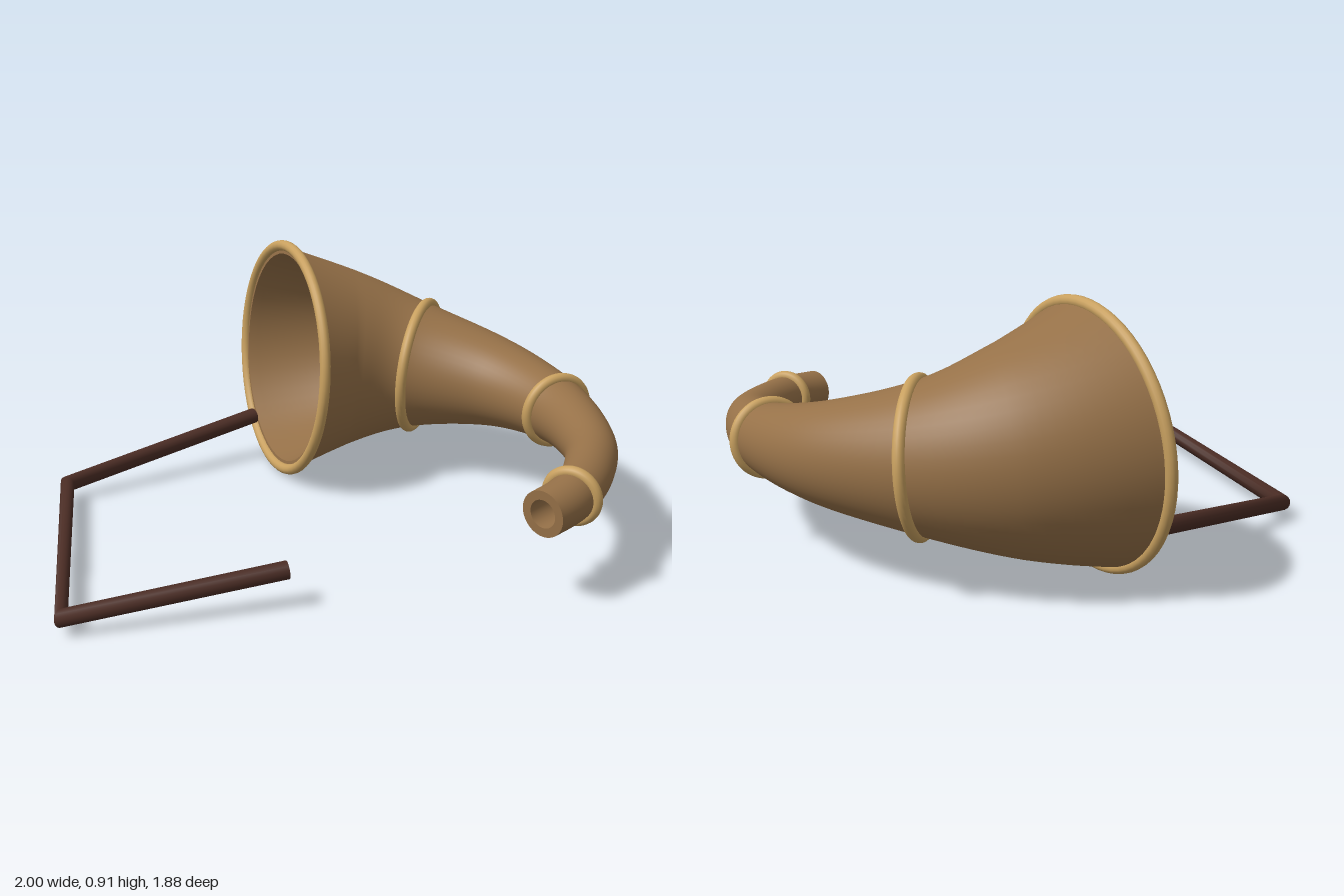
import * as THREE from 'three';

const SIDES = 48;

// One cross-section: centre, direction of travel, radius
const section = (centre, dir, radius) => ({ centre, dir, radius });

// Skin a list of round sections with a closed smooth surface
function loft(sections, sides = SIDES) {
  const pos = [], index = [];
  const up = new THREE.Vector3(0, 1, 0);
  sections.forEach(({ centre, dir, radius }, i) => {
    const side = new THREE.Vector3().crossVectors(dir, up).normalize();
    const lift = new THREE.Vector3().crossVectors(side, dir).normalize();
    for (let j = 0; j < sides; j++) {
      const a = (j / sides) * Math.PI * 2;
      const p = centre.clone()
        .addScaledVector(side, Math.cos(a) * radius)
        .addScaledVector(lift, Math.sin(a) * radius);
      pos.push(p.x, p.y, p.z);
      if (i === sections.length - 1) continue;
      const k = (j + 1) % sides;
      const r0 = i * sides, r1 = r0 + sides;
      index.push(r0 + j, r1 + j, r0 + k, r1 + j, r1 + k, r0 + k);
    }
  });
  const g = new THREE.BufferGeometry();
  g.setAttribute('position', new THREE.Float32BufferAttribute(pos, 3));
  g.setIndex(index);
  g.computeVertexNormals();
  return g;
}

export function createModel() {
  const model = new THREE.Group();
  model.name = 'curvedHorn';
  const hornMat = new THREE.MeshStandardMaterial({ name: 'hornBrown', color: 0x967148 });
  const bandMat = new THREE.MeshStandardMaterial({ name: 'brassBand', color: 0xc8a05f });
  const strapMat = new THREE.MeshStandardMaterial({ name: 'darkLeather', color: 0x4a2c24 });

  function add(parent, name, geometry, material) {
    const mesh = new THREE.Mesh(geometry, material);
    mesh.name = name;
    parent.add(mesh);
    return mesh;
  }

  // Horn centreline and radius; first and last rows only steer the end directions
  const rows = [
    [-0.42, 0.505, -0.37, 0.52],
    [-0.17, 0.483, -0.515, 0.435],
    [0.10, 0.465, -0.585, 0.342],
    [0.367, 0.445, -0.548, 0.245],
    [0.65, 0.425, -0.385, 0.17],
    [0.84, 0.405, -0.118, 0.12],
    [0.905, 0.385, 0.18, 0.093],
    [0.87, 0.37, 0.40, 0.084],
    [0.785, 0.358, 0.59, 0.08],
    [0.675, 0.348, 0.715, 0.077],
    [0.55, 0.338, 0.82, 0.074],
  ];
  const spline = (pts) => new THREE.CatmullRomCurve3(pts, false, 'catmullrom', 0.5);
  const path = spline(rows.map(([x, y, z]) => new THREE.Vector3(x, y, z)));
  const girth = spline(rows.map((r) => new THREE.Vector3(r[3], 0, 0)));
  const at = (row, inset = 0) => {
    const t = row / (rows.length - 1);
    return section(path.getPoint(t), path.getTangent(t), girth.getPoint(t).x - inset);
  };

  // Hollow horn: outer skin, inner skin and the two rims
  const horn = new THREE.Group();
  horn.name = 'horn';
  model.add(horn);
  const wall = 0.03, first = 1, last = rows.length - 2, steps = 80;
  const outer = [], inner = [];
  for (let i = 0; i <= steps; i++) {
    const row = first + ((last - first) * i) / steps;
    outer.push(at(row));
    inner.unshift(at(row, wall));
  }
  add(horn, 'hornOuter', loft(outer), hornMat);
  add(horn, 'hornInner', loft(inner), hornMat);
  add(horn, 'mouthRim', loft([at(first, wall), at(first)]), hornMat);
  add(horn, 'mouthpieceRim', loft([at(last), at(last, wall)]), hornMat);

  // Bands around the horn
  [[1, 'mouthBand'], [3, 'flareBand'], [5, 'bendBand'], [8, 'mouthpieceBand']].forEach(([row, name]) => {
    const { centre, dir, radius } = at(row);
    const band = add(model, name, new THREE.TorusGeometry(radius + 0.002, 0.02, 14, 64), bandMat);
    band.position.copy(centre);
    band.lookAt(centre.clone().add(dir));
  });

  // Strap: a thin round cord with two sharp bends and closed ends
  const cord = [
    [-0.295, 0.197, -0.655], [-0.97, 0.09, -0.165], [-0.785, 0.09, 0.915], [-0.11, 0.155, 0.71],
  ].map((p) => new THREE.Vector3(...p));
  const heading = (a, b) => cord[b].clone().sub(cord[a]).normalize();
  const cordSections = cord.map((p, i) => {
    const before = heading(Math.max(i - 1, 0), Math.max(i, 1));
    const after = heading(Math.min(i, 2), Math.min(i + 1, 3));
    return section(p, before.add(after).normalize(), 0.03);
  });
  const strap = new THREE.Group();
  strap.name = 'strap';
  model.add(strap);
  add(strap, 'strapCord', loft(cordSections, 16), strapMat);
  const [start, end] = [cordSections[0], cordSections[3]];
  add(strap, 'strapStart', loft([{ ...start, radius: 0 }, start], 16), strapMat);
  add(strap, 'strapEnd', loft([end, { ...end, radius: 0 }], 16), strapMat);

  return model;
}
